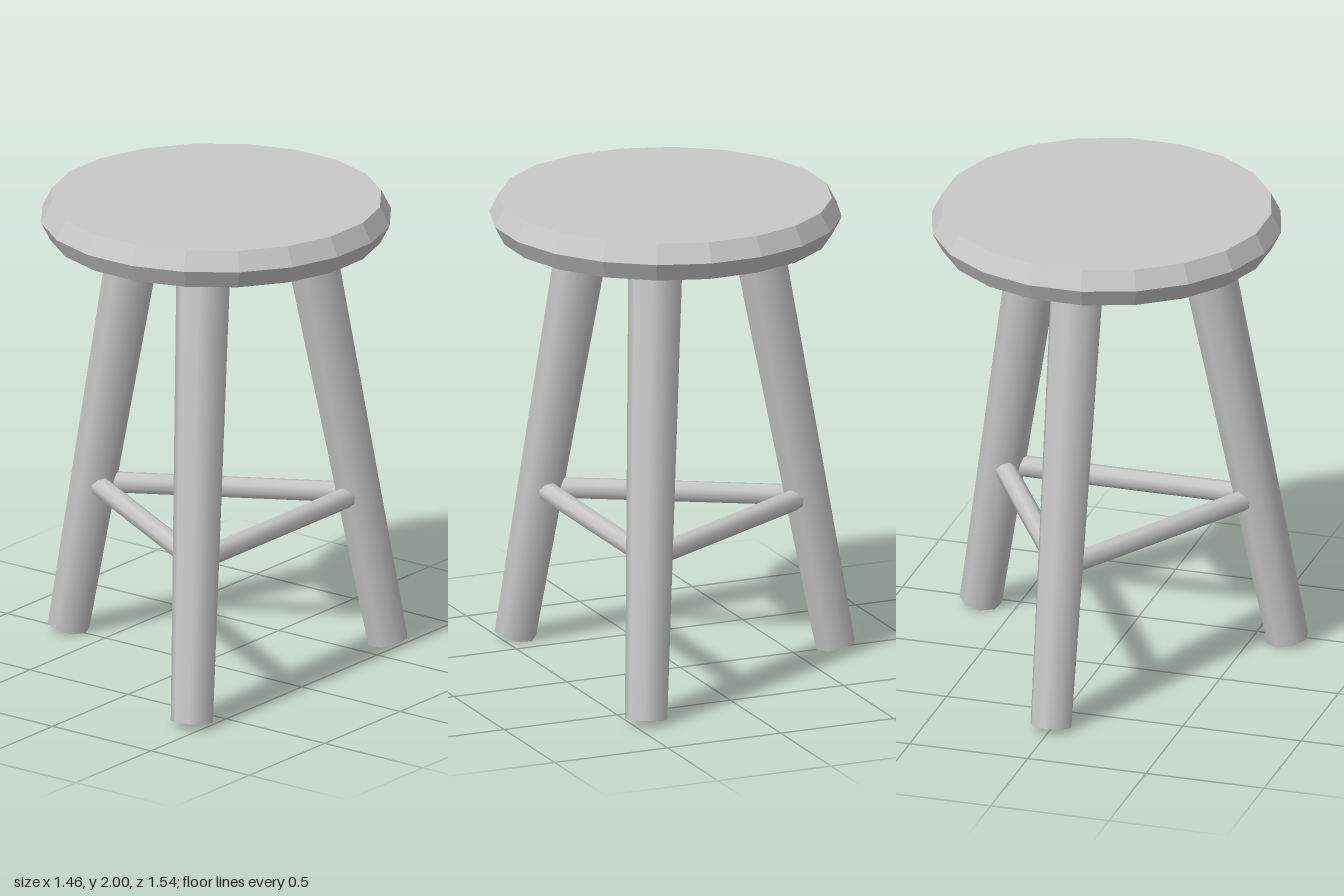
import * as THREE from 'three';

export function createModel() {
  const model = new THREE.Group();
  model.name = 'stool';
  const grey = new THREE.MeshStandardMaterial({ color: 0xc8c8c8 });
  grey.name = 'plain grey';

  const centreZ = 0.064; // seat axis, balanced against the back leg's splay
  const legCount = 3;

  // Straight rod between two points, with an optional taper
  function rod(name, from, to, rFrom, rTo, sides) {
    const dir = to.clone().sub(from);
    const mesh = new THREE.Mesh(new THREE.CylinderGeometry(rTo, rFrom, dir.length(), sides), grey);
    mesh.name = name;
    mesh.position.copy(from).add(to).multiplyScalar(0.5);
    mesh.quaternion.setFromUnitVectors(new THREE.Vector3(0, 1, 0), dir.normalize());
    return mesh;
  }

  // Seat: faceted 20-sided disc with a bevelled rim
  const profile = [[0, 1.845], [0.673, 1.845], [0.713, 1.922], [0.673, 2], [0, 2]]
    .map(([r, y]) => new THREE.Vector2(r, y));
  const seatGeometry = new THREE.LatheGeometry(profile, 20, Math.PI / 20).toNonIndexed();
  seatGeometry.computeVertexNormals();
  const seat = new THREE.Mesh(seatGeometry, grey);
  seat.name = 'seat';
  seat.position.z = centreZ;
  model.add(seat);

  // Three splayed, tapered legs, each with a stretcher to the next one
  const foot = new THREE.Vector3(0, 0.017, -0.75);
  const top = new THREE.Vector3(0, 1.847, -0.391);
  const stretcherY = 0.658;
  const joint = foot.clone().lerp(top, (stretcherY - foot.y) / (top.y - foot.y));
  const step = (Math.PI * 2) / legCount;
  const nextJoint = joint.clone().applyAxisAngle(new THREE.Vector3(0, 1, 0), step);
  const names = ['back', 'left', 'right'];
  for (let i = 0; i < legCount; i++) {
    const side = new THREE.Group();
    side.name = names[i] + 'Side';
    side.position.z = centreZ;
    side.rotation.y = -i * step;
    side.add(rod('leg', foot, top, 0.086, 0.11, 8));
    side.add(rod('stretcher', joint, nextJoint, 0.043, 0.043, 8));
    model.add(side);
  }
  return model;
}
